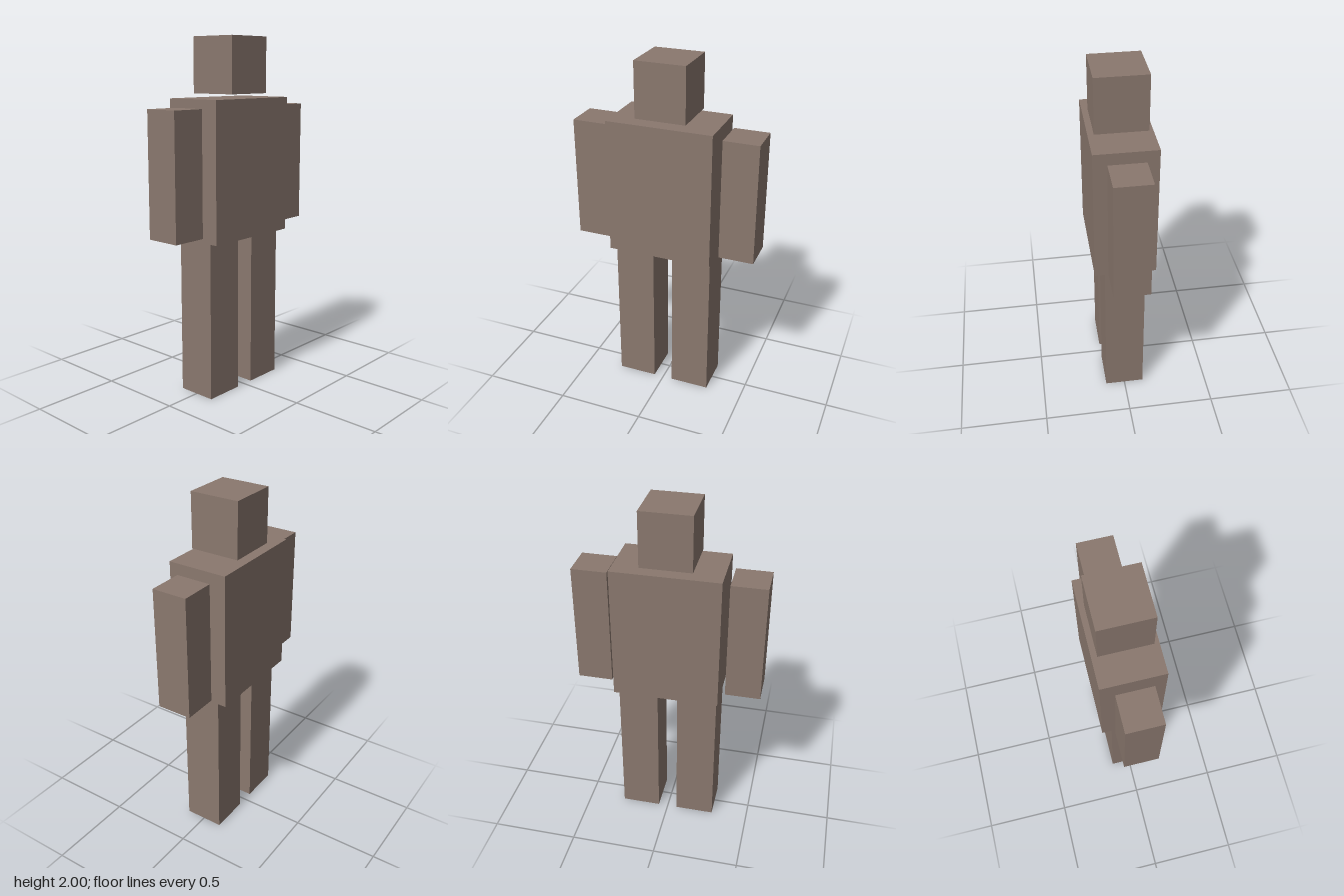
import * as THREE from 'three';

export function createModel() {
  const model = new THREE.Group();
  model.name = 'blockFigure';

  const brown = new THREE.MeshStandardMaterial({ color: 0x8a786e });
  brown.name = 'dull brown';

  // Adds a box standing on height y, centred on x and z = 0
  function block(name, width, height, depth, x, y) {
    const mesh = new THREE.Mesh(new THREE.BoxGeometry(width, height, depth), brown);
    mesh.name = name;
    mesh.position.set(x, y + height / 2, 0);
    model.add(mesh);
  }

  block('head', 0.284, 0.308, 0.284, 0, 1.692);
  block('torso', 0.597, 0.77, 0.342, 0, 0.898);

  // Limbs, mirrored: the figure's left is +x
  for (const [side, s] of [['left', 1], ['right', -1]]) {
    block(side + 'Arm', 0.199, 0.69, 0.2, s * 0.428, 0.931);
    block(side + 'Leg', 0.227, 0.898, 0.227, s * 0.171, 0);
  }

  return model;
}
